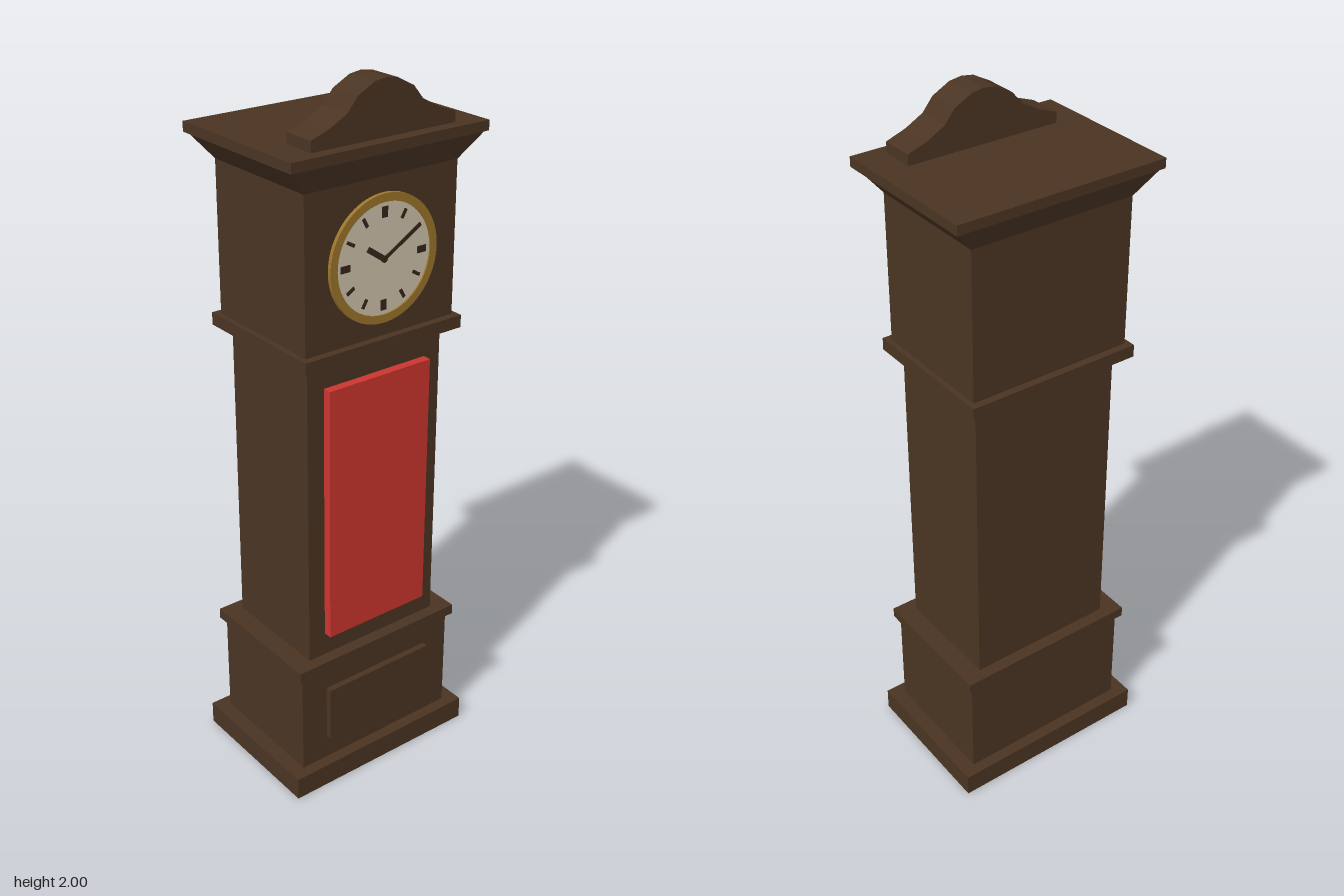
import * as THREE from 'three';

const paint = (name, color) => {
  const m = new THREE.MeshStandardMaterial({ color });
  m.name = name;
  return m;
};

export function createModel() {
  const wood = paint('dark wood', 0x4a3423);
  const red = paint('red door', 0xcc352e);
  const gold = paint('brass', 0x9c752a);
  const cream = paint('cream dial', 0xcfc3ad);
  const dark = paint('dark hands', 0x35251a);

  const clock = new THREE.Group();
  clock.name = 'longcaseClock';

  const add = (name, geometry, material, parent = clock) => {
    const mesh = new THREE.Mesh(geometry, material);
    mesh.name = name;
    parent.add(mesh);
    return mesh;
  };

  // Block given by half width, half depth, bottom and top
  const block = (name, hx, hz, y0, y1) => {
    const mesh = add(name, new THREE.BoxGeometry(hx * 2, y1 - y0, hz * 2), wood);
    mesh.position.y = (y0 + y1) / 2;
    return mesh;
  };

  // Stacked case
  block('baseFoot', 0.305, 0.22, 0, 0.067);
  block('plinth', 0.262, 0.187, 0.067, 0.38);
  block('plinthMoulding', 0.277, 0.2, 0.38, 0.41);
  block('waist', 0.22, 0.165, 0.41, 1.305);
  block('hoodMoulding', 0.255, 0.208, 1.305, 1.34);
  block('hood', 0.24, 0.187, 1.34, 1.76);
  block('corniceTop', 0.305, 0.228, 1.83, 1.857);

  // Cornice flare: a block widened at its top
  const flare = block('corniceFlare', 0.24, 0.187, 1.76, 1.83);
  const p = flare.geometry.attributes.position;
  for (let i = 0; i < p.count; i++) {
    if (p.getY(i) > 0) {
      p.setX(i, Math.sign(p.getX(i)) * 0.297);
      p.setZ(i, Math.sign(p.getZ(i)) * 0.222);
    }
  }
  flare.geometry.computeVertexNormals();

  // Raised front panels
  const door = add('door', new THREE.BoxGeometry(0.334, 0.75, 0.025), red);
  door.position.set(0, 0.855, 0.1775);
  const panel = add('plinthPanel', new THREE.BoxGeometry(0.356, 0.17, 0.018), wood);
  panel.position.set(0, 0.225, 0.196);

  // Curved crest, mirrored from one half profile
  const half = [[0.222, 1.857], [0.222, 1.886], [0.165, 1.906], [0.115, 1.933], [0.085, 1.969], [0.035, 1.995], [0, 2]];
  const outline = [...half, ...half.slice(0, -1).reverse().map(([x, y]) => [-x, y])];
  const crest = add('crest', new THREE.ExtrudeGeometry(
    new THREE.Shape(outline.map(([x, y]) => new THREE.Vector2(x, y))),
    { depth: 0.096, bevelEnabled: false }), wood);
  crest.position.z = 0.097;

  // Clock face on the hood front
  const face = new THREE.Group();
  face.name = 'clockFace';
  face.position.set(0, 1.55, 0.187);
  clock.add(face);

  const ring = new THREE.Shape().absarc(0, 0, 0.17, 0, Math.PI * 2);
  ring.holes.push(new THREE.Path().absarc(0, 0, 0.148, 0, Math.PI * 2, true));
  add('bezel', new THREE.ExtrudeGeometry(ring, { depth: 0.011, bevelEnabled: false, curveSegments: 40 }), gold, face);

  const dial = add('dial', new THREE.CylinderGeometry(0.15, 0.15, 0.007, 40), cream, face);
  dial.rotation.x = Math.PI / 2;
  dial.position.z = 0.0035;

  // Hour marks, larger on the quarters
  for (let i = 0; i < 12; i++) {
    const a = i * Math.PI / 6;
    const big = i % 3 === 0;
    const mark = add('hourMark', new THREE.BoxGeometry(big ? 0.018 : 0.009, big ? 0.028 : 0.026, 0.003), dark, face);
    mark.position.set(Math.sin(a) * 0.122, Math.cos(a) * 0.122, 0.008);
    mark.rotation.z = -a;
  }

  // Hands from the centre towards a tip
  const hand = (name, x, y, width, z) => {
    const mesh = add(name, new THREE.BoxGeometry(Math.hypot(x, y), width, 0.003), dark, face);
    mesh.position.set(x / 2, y / 2, z);
    mesh.rotation.z = Math.atan2(y, x);
  };
  hand('hourHand', -0.052, 0.036, 0.015, 0.0085);
  hand('minuteHand', 0.115, 0.069, 0.01, 0.0095);
  const hub = add('handHub', new THREE.CylinderGeometry(0.009, 0.009, 0.005, 16), dark, face);
  hub.rotation.x = Math.PI / 2;
  hub.position.z = 0.009;

  return clock;
}
